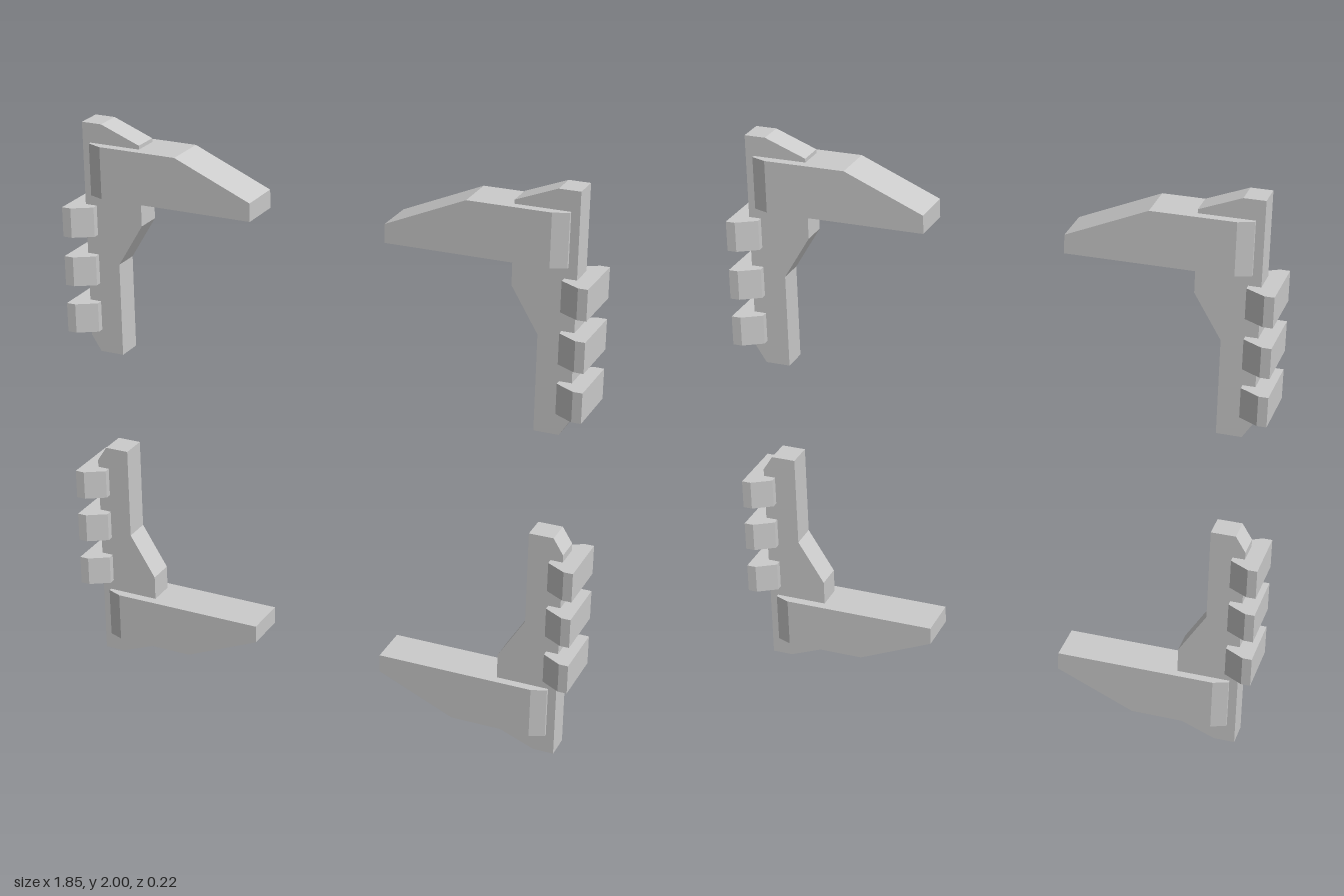
import * as THREE from 'three';
import { ConvexGeometry } from 'three/addons/geometries/ConvexGeometry.js';

const material = new THREE.MeshStandardMaterial({ color: 0xcccccc, flatShading: true });

// Extrudes an outline by the given depth, centred on z = 0
function slab(points, depth) {
  const shape = new THREE.Shape(points.map(([x, y]) => new THREE.Vector2(x, y)));
  return new THREE.ExtrudeGeometry(shape, { depth, bevelEnabled: false }).translate(0, 0, -depth / 2);
}

function part(name, geometry) {
  const mesh = new THREE.Mesh(geometry, material);
  mesh.name = name;
  return mesh;
}

// One corner bracket; y is measured from the middle of the frame
function createBracket() {
  const bracket = new THREE.Group();

  // Upright post with a wider head and a clipped end
  bracket.add(part('post', slab([
    [0.867, 1], [0.795, 1], [0.655, 0.945], [0.655, 0.665], [0.747, 0.515],
    [0.747, 0.185], [0.832, 0.185], [0.867, 0.24],
  ], 0.092)));

  // Tapered arm pointing inwards, its outer end chamfered front and back
  const armOutline = [
    [0.237, 0.752, 0.077], [0.237, 0.815, 0.077], [0.508, 0.932, 0.077],
    [0.787, 0.932, 0.077], [0.787, 0.752, 0.077],
    [0.838, 0.932, 0.057], [0.838, 0.752, 0.057],
  ];
  const corners = armOutline.flatMap(([x, y, z]) => [
    new THREE.Vector3(x, y, z), new THREE.Vector3(x, y, -z),
  ]);
  bracket.add(part('arm', new ConvexGeometry(corners)));

  // Three flared blocks on the outer edge of the post, drawn in plan
  for (const y of [0.318, 0.488, 0.662]) {
    const block = slab([
      [0.825, -0.068], [0.891, -0.108], [0.923, -0.108],
      [0.923, 0.108], [0.891, 0.108], [0.825, 0.068],
    ], 0.104).rotateX(Math.PI / 2);
    const mesh = part('gripBlock', block);
    mesh.position.y = y;
    bracket.add(mesh);
  }
  return bracket;
}

export function createModel() {
  const model = new THREE.Group();
  model.name = 'cornerBrackets';

  // The bracket is symmetric front to back, so half turns give all four corners
  const corners = [
    ['upperLeftBracket', 0, 0, 0],
    ['upperRightBracket', 0, Math.PI, 0],
    ['lowerLeftBracket', Math.PI, 0, 0],
    ['lowerRightBracket', 0, 0, Math.PI],
  ];
  for (const [name, rx, ry, rz] of corners) {
    const bracket = createBracket();
    bracket.name = name;
    bracket.rotation.set(rx, ry, rz);
    bracket.position.y = 1;
    model.add(bracket);
  }
  return model;
}
